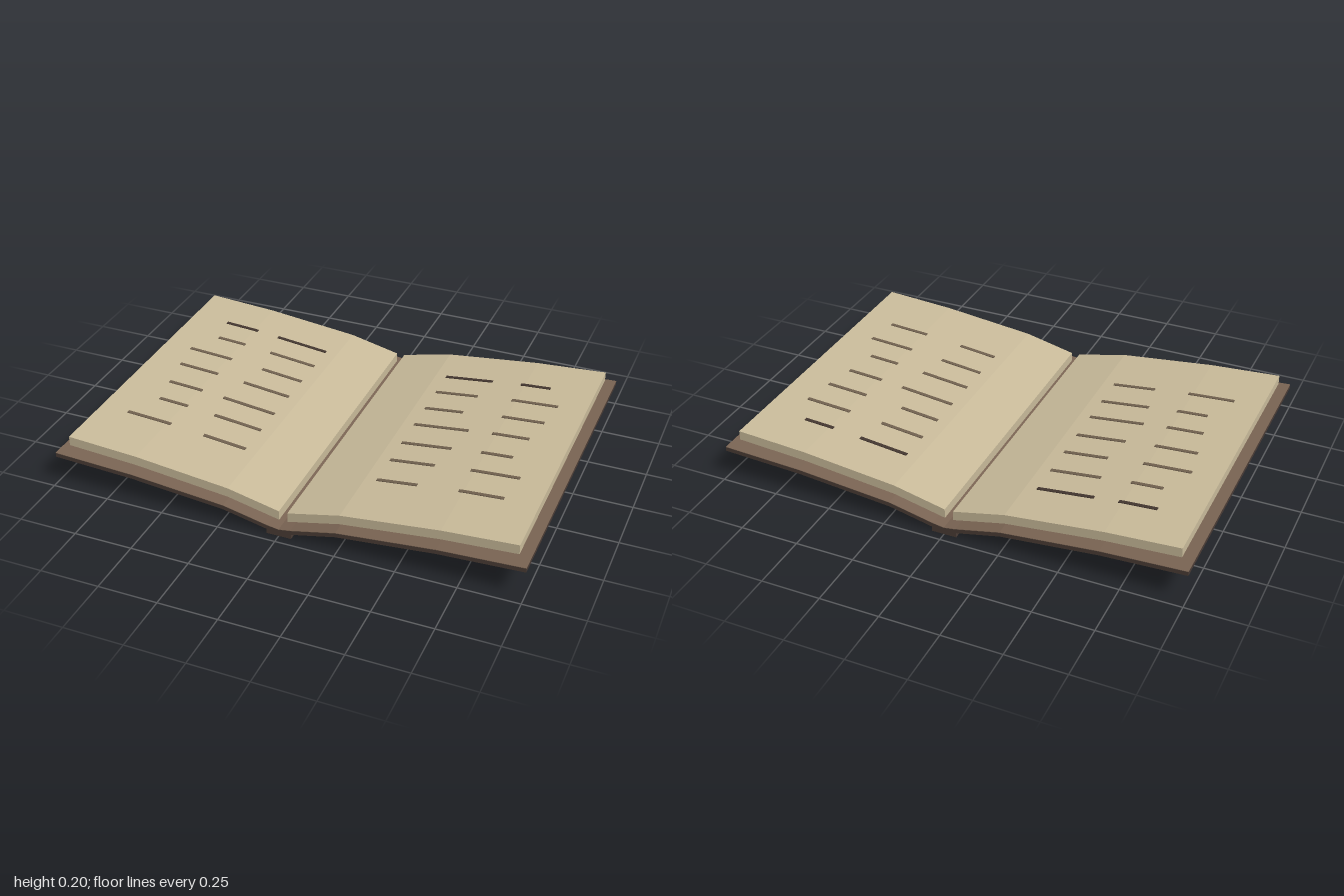
import * as THREE from 'three';

const material = (name, color) => {
  const m = new THREE.MeshStandardMaterial({ color });
  m.name = name;
  return m;
};

// Profiles of the right half of the open book, as [x, y] from spine to edge
const COVER_TOP = [[0, 0.03], [0.05, 0.038], [0.24, 0.081], [0.65, 0.121], [1, 0.138]];
const PAGE_TOP = [[0.018, 0.083], [0.24, 0.134], [0.65, 0.18], [0.958, 0.2]];
const COVER_Z = 0.712, PAGE_Z = 0.665;

// Height of a profile at x
function heightAt(profile, x) {
  for (let i = 1; i < profile.length; i++) {
    const [x0, y0] = profile[i - 1], [x1, y1] = profile[i];
    if (x <= x1) return y0 + (y1 - y0) * (x - x0) / (x1 - x0);
  }
  return profile[profile.length - 1][1];
}

// Bent slab whose top follows the profile; side is 1 or -1
function slab(name, profile, thickness, z0, z1, side, mat) {
  const top = profile.map(([x, y]) => new THREE.Vector2(side * x, y));
  const bottom = profile.map(([x, y]) => new THREE.Vector2(side * x, y - thickness)).reverse();
  const geometry = new THREE.ExtrudeGeometry(new THREE.Shape([...top, ...bottom]), {
    depth: z1 - z0, bevelEnabled: false,
  });
  geometry.translate(0, 0, z0);
  const mesh = new THREE.Mesh(geometry, mat);
  mesh.name = name;
  return mesh;
}

// Thin printed stroke lying on the page between x0 and x1
function stroke(name, x0, x1, z, side, mat) {
  const xs = [x0, ...PAGE_TOP.map(p => p[0]).filter(x => x > x0 && x < x1), x1];
  const profile = xs.map(x => [x, heightAt(PAGE_TOP, x) + 0.003]);
  return slab(name, profile, 0.003, z - 0.008, z + 0.008, side, mat);
}

export function createModel() {
  const cover = material('dark cover', 0x4a3c35);
  const lining = material('brown lining', 0x7a6453);
  const paper = material('paper', 0xc9bb9a);
  const ink = material('faded ink', 0x70604e);
  const heading = material('heading ink', 0x43362f);

  const book = new THREE.Group();
  book.name = 'openBook';

  // Spine
  const spine = new THREE.Mesh(new THREE.BoxGeometry(0.106, 0.028, COVER_Z * 2), cover);
  spine.name = 'spine';
  spine.position.y = 0.014;
  book.add(spine);

  // Stroke rows and the outer ends of the two columns
  const rows = [-0.46, -0.322, -0.18, -0.042, 0.108, 0.244, 0.395];
  const columns = {
    1: { inner: [0.505, 0.48, 0.46, 0.53], outer: [0.765, 0.835, 0.815, 0.79] },
    [-1]: { inner: [0.53, 0.505, 0.48, 0.505], outer: [0.79, 0.765, 0.835, 0.815] },
  };

  for (const side of [1, -1]) {
    const half = new THREE.Group();
    half.name = side > 0 ? 'leftHalf' : 'rightHalf';
    half.add(slab('coverBoard', COVER_TOP, 0.018, -COVER_Z, COVER_Z, side, cover));
    half.add(slab('coverLining', COVER_TOP.map(([x, y]) => [x, y + 0.002]), 0.002,
      -COVER_Z, COVER_Z, side, lining));
    half.add(slab('pageBlock', PAGE_TOP, 0.041, -PAGE_Z, PAGE_Z, side, paper));

    // Printed strokes, with a darker heading row at the back
    rows.forEach((z, i) => {
      const mat = i === 0 ? heading : ink;
      const { inner, outer } = columns[side];
      half.add(stroke('innerStroke', 0.29, inner[i % 4], z, side, mat));
      half.add(stroke('outerStroke', 0.632, outer[i % 4], z, side, mat));
    });
    book.add(half);
  }
  return book;
}
